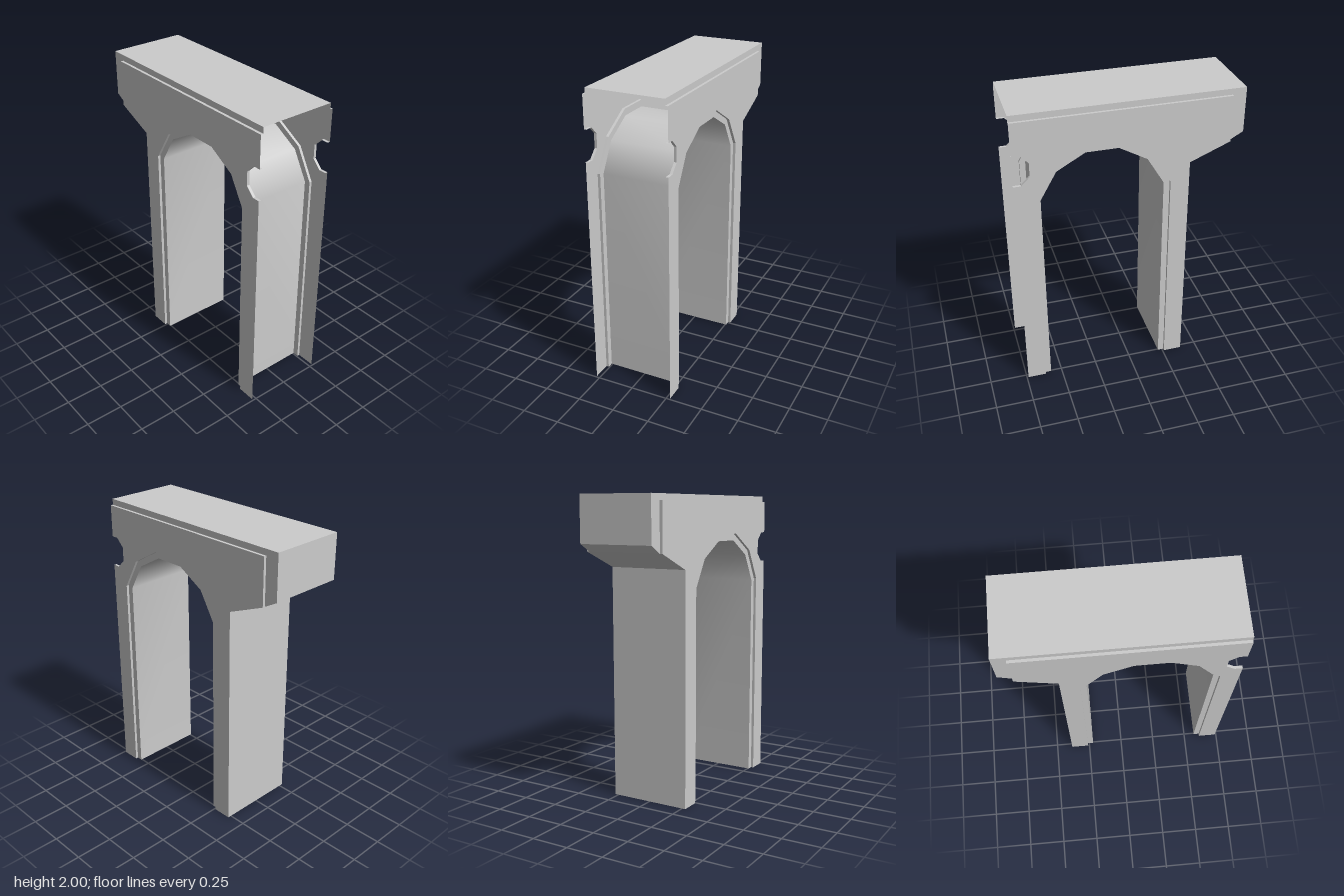
import * as THREE from 'three';

const FACE = 0.275;   // raised facade plane
const INNER = 0.257;  // recessed border plane

const material = new THREE.MeshStandardMaterial({ color: 0xcccccc, side: THREE.DoubleSide });
const flatMaterial = new THREE.MeshStandardMaterial({ color: 0xcccccc, side: THREE.DoubleSide, flatShading: true });

// Arch outlines, from the foot of one leg to the foot of the other
const outerArch = [[-0.26, 0], [-0.26, 1.42], [-0.135, 1.625], [0.07, 1.745],
  [0.29, 1.745], [0.5, 1.625], [0.615, 1.42], [0.615, 0]];
const innerArch = [[-0.22, 0], [-0.22, 1.41], [-0.11, 1.595], [0.075, 1.7],
  [0.285, 1.7], [0.47, 1.595], [0.575, 1.41], [0.575, 0]];
const notch = [[0.74, 1.54], [0.69, 1.54], [0.635, 1.595], [0.635, 1.69], [0.69, 1.745], [0.74, 1.745]];
const panelEdge = [[0.74, 1.96], [-0.65, 1.96], [-0.65, 1.65]];

// Flat polygon at a given depth
function plate(name, points, z) {
  const shape = new THREE.Shape(points.map(([x, y]) => new THREE.Vector2(x, y)));
  const mesh = new THREE.Mesh(new THREE.ShapeGeometry(shape), material);
  mesh.position.z = z;
  mesh.name = name;
  return mesh;
}

// Ribbon that sweeps a path in x, y from depth z0 to z1
function ribbon(name, path, z0, z1, smooth = false) {
  const positions = [];
  const index = [];
  path.forEach(([x, y], i) => {
    positions.push(x, y, z0, x, y, z1);
    if (i > 0) {
      const a = 2 * (i - 1);
      index.push(a, a + 1, a + 2, a + 1, a + 3, a + 2);
    }
  });
  const geometry = new THREE.BufferGeometry();
  geometry.setAttribute('position', new THREE.Float32BufferAttribute(positions, 3));
  geometry.setIndex(index);
  geometry.computeVertexNormals();
  const mesh = new THREE.Mesh(geometry, smooth ? material : flatMaterial);
  mesh.name = name;
  return mesh;
}

function createFacade(name) {
  const facade = new THREE.Group();
  facade.name = name;
  // Raised panel with both legs, arch opening and side notch
  facade.add(plate('facadePanel', [
    ...outerArch, [0.74, 0], ...notch, ...panelEdge, [-0.385, 1.54], [-0.385, 0],
  ], FACE));
  // Recessed trim around the arch and along the top and end
  facade.add(plate('archTrim', [...outerArch, ...innerArch.slice().reverse()], INNER));
  facade.add(plate('topTrim', [[-0.74, 2], [-0.74, 1.7], [-0.65, 1.65], [-0.65, 1.96], [0.74, 1.96], [0.74, 2]], INNER));
  // Narrow steps between the two planes
  facade.add(ribbon('archStep', outerArch, INNER, FACE));
  facade.add(ribbon('panelStep', panelEdge, INNER, FACE));
  facade.add(ribbon('notchLip', notch, INNER, FACE));
  return facade;
}

export function createModel() {
  const model = new THREE.Group();
  model.name = 'archway';

  const front = createFacade('frontFacade');
  const back = createFacade('backFacade');
  back.scale.z = -1;
  model.add(front, back);

  // Arch lining, smoothly shaded
  model.add(ribbon('archLining', innerArch, -INNER, INNER, true));

  // Roof, overhanging end and bracket underside; the other end stays open
  model.add(ribbon('roof', [[0.74, 2], [-0.74, 2]], INNER, -INNER));
  model.add(ribbon('endWall', [[-0.74, 2], [-0.74, 1.7]], INNER, -INNER));
  model.add(ribbon('overhangUnderside', [[-0.74, 1.7], [-0.65, 1.65]], INNER, -INNER));
  model.add(ribbon('bracketUnderside', [[-0.65, 1.65], [-0.385, 1.54]], FACE, -FACE));
  model.add(ribbon('legOuterWall', [[-0.385, 1.54], [-0.385, 0]], FACE, -FACE));

  return model;
}
